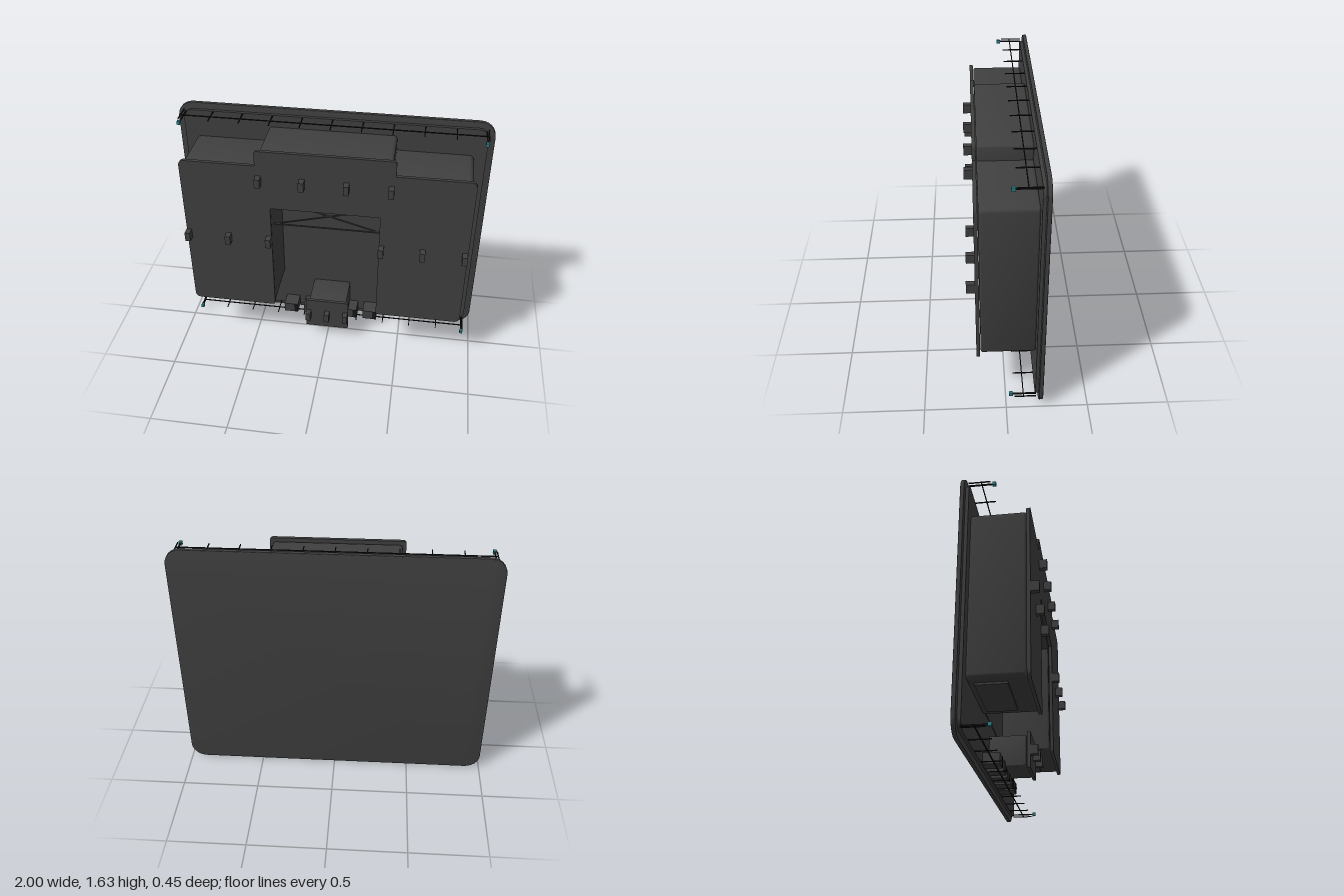
import * as THREE from 'three';
import { toCreasedNormals } from 'three/addons/utils/BufferGeometryUtils.js';

const mat = (name, color) => Object.assign(new THREE.MeshStandardMaterial({ color }), { name });

// Closed outline with every corner [x, y, radius] rounded
function outline(points) {
  const shape = new THREE.Shape();
  const n = points.length;
  points.forEach(([x, y, r], i) => {
    const toward = ([px, py]) => {
      const d = Math.hypot(px - x, py - y);
      return [x + (px - x) / d * r, y + (py - y) / d * r];
    };
    const a = toward(points[(i + n - 1) % n]);
    const b = toward(points[(i + 1) % n]);
    if (i === 0) shape.moveTo(...a); else shape.lineTo(...a);
    // bezier approximating a quarter circle
    const k = 0.5523;
    if (r > 0) {
      shape.bezierCurveTo(a[0] + (x - a[0]) * k, a[1] + (y - a[1]) * k,
        b[0] + (x - b[0]) * k, b[1] + (y - b[1]) * k, b[0], b[1]);
    }
  });
  shape.closePath();
  return shape;
}

const rect = (x, y0, y1, r) => outline([[-x, y0, r], [x, y0, r], [x, y1, r], [-x, y1, r]]);

// Arch with two legs, a notch between them and a raised middle at the top
function arch(w, y0, shoulder, bumpW, top, notchW, notchTop, r) {
  const right = [[notchW, notchTop, 0], [notchW, y0, r * 0.4], [w, y0, r],
    [w, shoulder, r], [bumpW, shoulder, 0], [bumpW, top, r * 0.6]];
  const left = right.map(([x, y, q]) => [-x, y, q]).reverse();
  return outline([...right, ...left]);
}

export function createModel() {
  const model = new THREE.Group();
  model.name = 'panelAssembly';
  const grey = mat('charcoal', 0x404040);
  const black = mat('black', 0x161616);
  const teal = mat('teal', 0x2b8088);

  const add = (name, geometry, material) => {
    const mesh = new THREE.Mesh(geometry, material);
    mesh.name = name;
    model.add(mesh);
    return mesh;
  };
  // Box from its minimum and maximum corners
  const box = (name, x0, x1, y0, y1, z0, z1, material = grey) => {
    const mesh = add(name, new THREE.BoxGeometry(x1 - x0, y1 - y0, z1 - z0), material);
    mesh.position.set((x0 + x1) / 2, (y0 + y1) / 2, (z0 + z1) / 2);
    return mesh;
  };
  // Slab between two depths, edges softened inside its outline
  const slab = (name, shape, z0, z1, bevel) => {
    const g = new THREE.ExtrudeGeometry(shape, {
      depth: z1 - z0 - 2 * bevel, curveSegments: 6, bevelEnabled: bevel > 0,
      bevelSize: bevel, bevelThickness: bevel, bevelOffset: -bevel, bevelSegments: 3,
    });
    g.translate(0, 0, z0 + bevel);
    return add(name, toCreasedNormals(g, 0.6), grey);
  };
  // Thin square bar between two points
  const bar = (name, a, b, t, material = black) => {
    const from = new THREE.Vector3(...a), to = new THREE.Vector3(...b);
    const mesh = add(name, new THREE.BoxGeometry(t, t, from.distanceTo(to)), material);
    mesh.position.copy(from).add(to).multiplyScalar(0.5);
    mesh.lookAt(to);
    return mesh;
  };

  // Back panel and its raised inner step
  slab('backPanel', rect(1, 0, 1.63, 0.1), -0.225, -0.2, 0.003);
  slab('innerPanel', rect(0.96, 0.04, 1.588, 0.06), -0.2, -0.18, 0);

  // Deep housing and the wider cover on its front
  slab('housing', arch(0.885, 0.35, 1.41, 0.405, 1.51, 0.345, 1.105, 0.03), -0.181, 0.149, 0.012);
  slab('cover', arch(0.905, 0.33, 1.428, 0.428, 1.53, 0.345, 1.125, 0.035), 0.153, 0.175, 0);
  box('coverSpacer', -0.36, 0.36, 1.15, 1.45, 0.14, 0.16);

  // Plate and bracing inside the notch
  box('recessPlate', -0.345, 0.345, 0.38, 1.1, -0.181, -0.175);
  bar('recessBrace', [-0.345, 0.95, 0.09], [0.345, 0.95, 0.09], 0.008, grey);
  bar('recessBrace', [-0.345, 0.95, 0.09], [0.345, 0.95, -0.17], 0.008, grey);
  bar('recessBrace', [-0.345, 0.95, -0.17], [0.345, 0.95, 0.09], 0.008, grey);

  // Feet under the two legs of the housing
  for (const s of [-1, 1]) box('legPad', s * 0.615 - 0.2, s * 0.615 + 0.2, 0.337, 0.352, -0.145, 0.04);

  // Pegs on the cover
  const peg = (x, y, z0, z1) => box('peg', x - 0.017, x + 0.017, y - 0.031, y + 0.031, z0, z1);
  for (const x of [-0.89, -0.625, -0.362, 0.36, 0.622, 0.885]) peg(x, 0.88, 0.174, 0.225);
  for (const x of [-0.408, -0.138, 0.135, 0.405]) peg(x, 1.33, 0.174, 0.225);

  // Lower terminal block with its cover and pegs
  slab('terminalBlock', rect(0.13, 0.09, 0.29, 0.01), -0.181, 0.05, 0.006);
  box('terminalNeck', -0.1, 0.1, 0.12, 0.26, 0.04, 0.065);
  box('terminalCover', -0.148, 0.146, 0.077, 0.307, 0.058, 0.078);
  for (const x of [-0.13, 0, 0.128]) peg(x, 0.19, 0.077, 0.125);

  // Row of sockets along the bottom edge, each with a dark opening
  for (const x of [-0.288, -0.146, 0, 0.142, 0.285]) {
    box('socket', x - 0.049, x + 0.049, 0.045, 0.115, -0.181, -0.077);
    box('socketOpening', x + 0.022, x + 0.047, 0.047, 0.113, -0.08, -0.074, black);
  }

  // Wire rails along the top and bottom with cross wires
  for (const [y, pinY] of [[1.585, 1.573], [0.045, 0.058]]) {
    bar('railWire', [-0.955, y, -0.108], [0.955, y, -0.108], 0.006);
    for (let i = -5; i <= 5; i++) {
      bar('crossWire', [i * 0.191, y, -0.185], [i * 0.191, y, -0.052], 0.006);
    }
    // Corner pins with teal tips
    for (const s of [-1, 1]) {
      bar('cornerPin', [s * 0.944, pinY, -0.185], [s * 0.944, pinY, -0.035], 0.008);
      box('pinTip', s * 0.944 - 0.01, s * 0.944 + 0.01, pinY - 0.011, pinY + 0.011, -0.042, -0.02, teal);
    }
  }
  return model;
}
